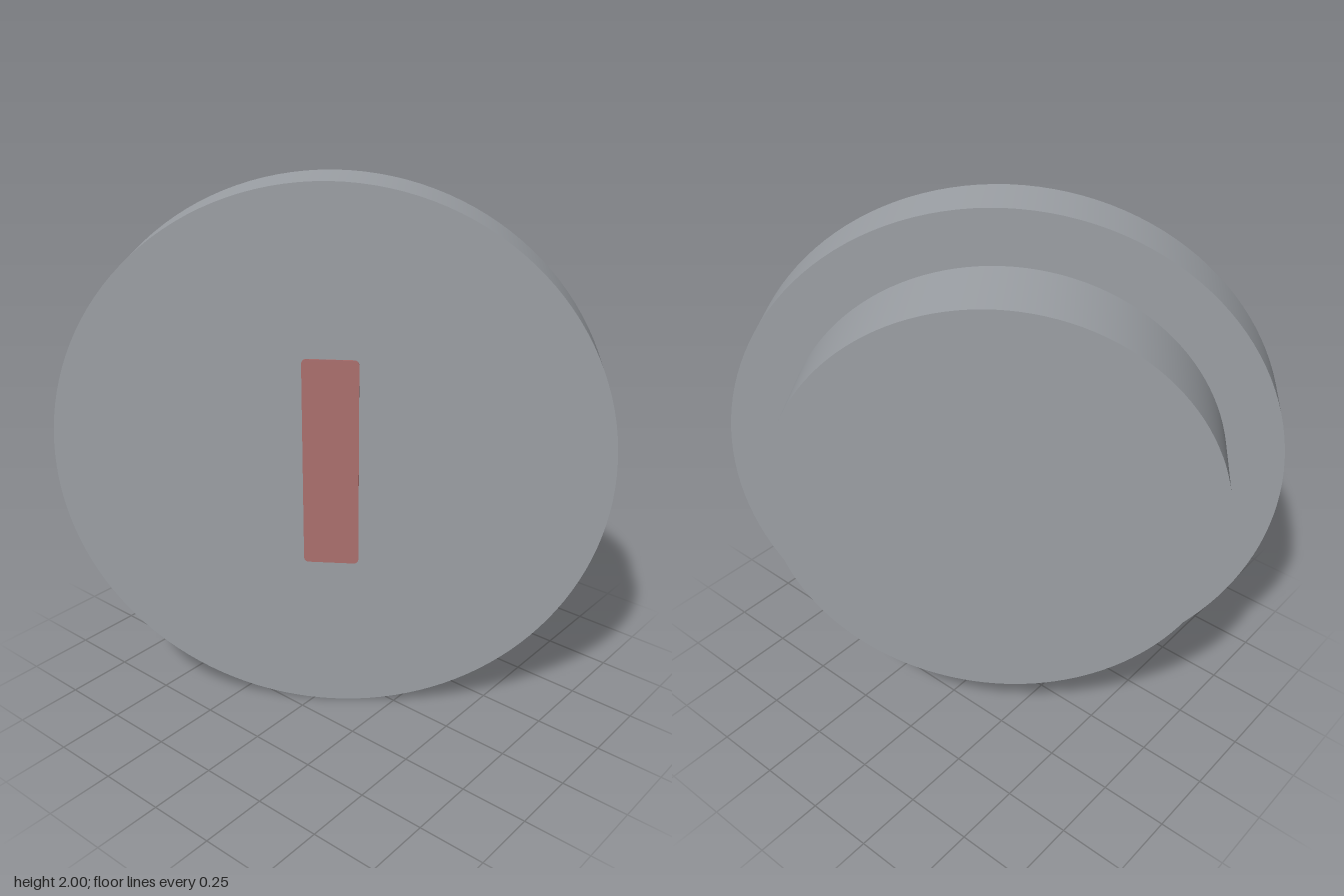
import * as THREE from 'three';

export function createModel() {
  const grey = new THREE.MeshStandardMaterial({ color: 0x9da1a6 });
  grey.name = 'grey';
  const red = new THREE.MeshStandardMaterial({ color: 0xad716f });
  red.name = 'red';

  const model = new THREE.Group();
  model.name = 'roundButton';

  // Stepped discs share one axis, turned about y; local +z is the front face
  const button = new THREE.Group();
  button.name = 'button';
  button.position.set(0.058, 1, 0.143);
  button.rotation.y = THREE.MathUtils.degToRad(35);
  model.add(button);

  const addDisc = (name, radius, front, depth) => {
    const geometry = new THREE.CylinderGeometry(radius, radius, depth, 128);
    geometry.rotateX(Math.PI / 2);
    const disc = new THREE.Mesh(geometry, grey);
    disc.name = name;
    disc.position.z = front - depth / 2;
    button.add(disc);
  };
  addDisc('frontDisc', 1, 0, 0.195);
  addDisc('backDisc', 0.8, -0.195, 0.3);

  // Upright red bar with slightly rounded corners, nearly flush with the face
  const w = 0.1, h = 0.395, r = 0.018;
  const outline = new THREE.Shape();
  outline.absarc(w - r, h - r, r, 0, Math.PI / 2);
  outline.absarc(-w + r, h - r, r, Math.PI / 2, Math.PI);
  outline.absarc(-w + r, -h + r, r, Math.PI, Math.PI * 1.5);
  outline.absarc(w - r, -h + r, r, Math.PI * 1.5, Math.PI * 2);
  const bar = new THREE.Mesh(
    new THREE.ExtrudeGeometry(outline, { depth: 0.004, bevelEnabled: false, curveSegments: 6 }), red);
  bar.name = 'markerBar';
  bar.position.z = -0.001;
  button.add(bar);

  return model;
}
